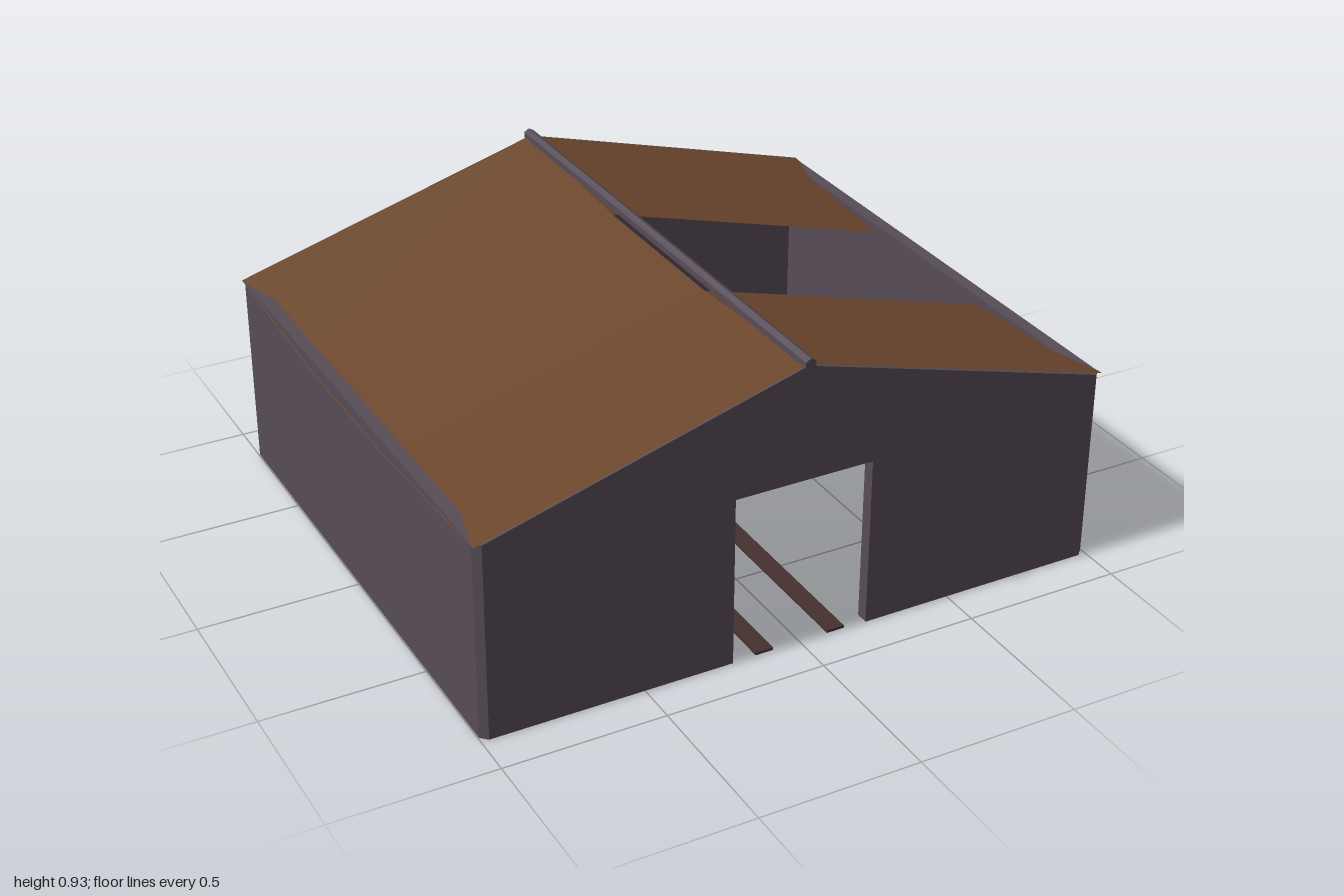
import * as THREE from 'three';

const WALL_TOP = 0.62, RIDGE = 0.906, DEPTH = 0.87, HOLE = 0.29, SAG = 0.04, THICK = 0.04;

// Flat outline from [x, y] pairs
const outline = (pts) => new THREE.Shape(pts.map(([x, y]) => new THREE.Vector2(x, y)));
const extrude = (pts, depth) => new THREE.ExtrudeGeometry(outline(pts), { depth, bevelEnabled: false });

// One roof slope: a strip from ridge to eave through stations along z, given as [z, sag]
function roofStrip(side, stations) {
  const pos = [];
  for (let i = 0; i < stations.length - 1; i++) {
    const [[z0, s0], [z1, s1]] = [stations[i], stations[i + 1]];
    const a = [0, RIDGE - s0, z0], b = [side, WALL_TOP - s0, z0];
    const c = [side, WALL_TOP - s1, z1], d = [0, RIDGE - s1, z1];
    const quad = side > 0 ? [a, d, c, a, c, b] : [a, b, c, a, c, d];
    quad.forEach((p) => pos.push(...p));
  }
  const geo = new THREE.BufferGeometry();
  geo.setAttribute('position', new THREE.Float32BufferAttribute(pos, 3));
  geo.computeVertexNormals();
  return geo;
}

export function createModel() {
  const wallGrey = new THREE.MeshStandardMaterial({ color: 0x564c56, side: THREE.DoubleSide });
  wallGrey.name = 'wallGrey';
  const roofBrown = new THREE.MeshStandardMaterial({ color: 0x6b462c, side: THREE.DoubleSide });
  roofBrown.name = 'roofBrown';
  const railBrown = new THREE.MeshStandardMaterial({ color: 0x473030 });
  railBrown.name = 'railBrown';

  const model = new THREE.Group();
  model.name = 'shed';
  const add = (name, geo, mat) => {
    const mesh = new THREE.Mesh(geo, mat);
    mesh.name = name;
    model.add(mesh);
    return mesh;
  };

  // Side walls with chamfered outer corners
  for (const s of [1, -1]) {
    const plan = [[0.957, -DEPTH], [0.976, -DEPTH], [0.997, -0.85], [0.997, 0.85], [0.976, DEPTH], [0.957, DEPTH]];
    const geo = extrude(plan.map(([x, y]) => [x * s, y]), WALL_TOP).rotateX(-Math.PI / 2);
    add(s > 0 ? 'leftWall' : 'rightWall', geo, wallGrey);
  }

  // End walls with doorways, and the gables above them
  for (const s of [1, -1]) {
    const z = s > 0 ? DEPTH - THICK : -DEPTH;
    const end = s > 0 ? 'front' : 'back';
    add(end + 'Wall', extrude([
      [-0.957, 0], [-0.22, 0], [-0.22, 0.54], [0.22, 0.54], [0.22, 0],
      [0.957, 0], [0.957, WALL_TOP], [-0.957, WALL_TOP],
    ], THICK), wallGrey).position.z = z;
    add(end + 'Gable', extrude([
      [-0.976, WALL_TOP], [0.976, WALL_TOP], [0, RIDGE - 0.006],
    ], THICK), wallGrey).position.z = z;
  }

  // Sagging roof: whole on the right, open in the middle on the left
  add('rightRoof', roofStrip(-1, [[-DEPTH, 0], [-HOLE, SAG], [HOLE, SAG], [DEPTH, 0]]), roofBrown);
  add('leftRoofBack', roofStrip(1, [[-DEPTH, 0], [-HOLE, SAG]]), roofBrown);
  add('leftRoofFront', roofStrip(1, [[HOLE, SAG], [DEPTH, 0]]), roofBrown);

  // Ridge beam
  const ridge = new THREE.CylinderGeometry(0.019, 0.019, 1.76, 6).toNonIndexed();
  ridge.computeVertexNormals();
  add('ridgeBeam', ridge.rotateX(Math.PI / 2), wallGrey).position.y = 0.908;

  // Floor rails running through both doorways
  for (const s of [1, -1]) {
    add(s > 0 ? 'leftRail' : 'rightRail', new THREE.BoxGeometry(0.057, 0.008, DEPTH * 2), railBrown)
      .position.set(0.118 * s, 0.007, 0);
  }
  return model;
}
